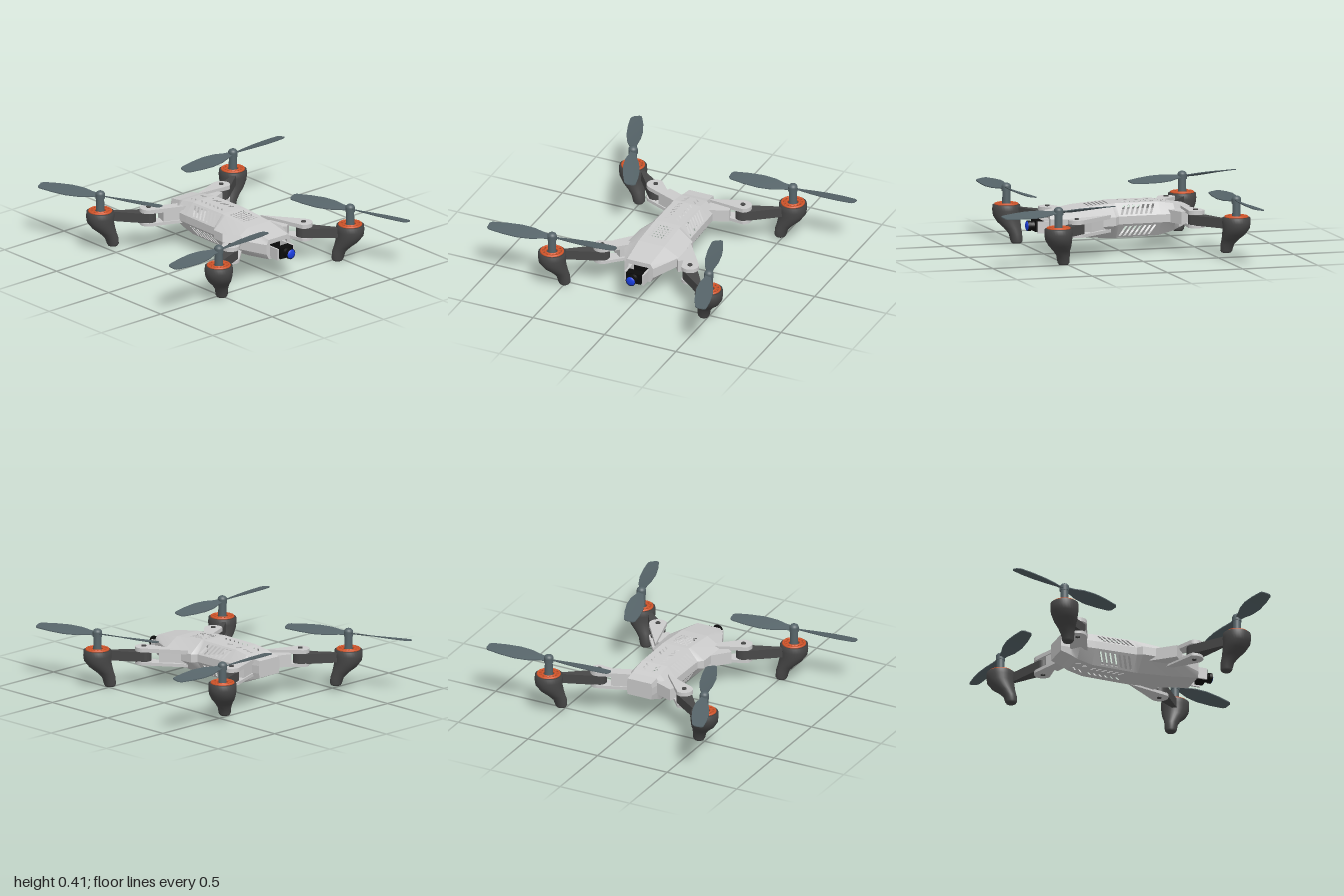
import * as THREE from 'three';
import { mergeVertices } from 'three/addons/utils/BufferGeometryUtils.js';

const mat = (color) => new THREE.MeshStandardMaterial({ color });
const shellMat = new THREE.MeshStandardMaterial({ color: 0xcccccc, side: THREE.DoubleSide });
const grey = mat(0xcccccc);
const dark = mat(0x484848);
const steel = mat(0x566469);
const orange = mat(0xd2552a);
const black = mat(0x0c0c0c);
const blue = mat(0x1a3fe0);

function add(parent, name, geometry, material, x = 0, y = 0, z = 0) {
  const m = new THREE.Mesh(geometry, material);
  m.name = name;
  m.position.set(x, y, z);
  parent.add(m);
  return m;
}

// Hull stations, back to front: z, top half width, side half width, then heights top, upper, lower, bottom
const stations = [
  [-0.44, 0.085, 0.09, 0.28, 0.25, 0.2, 0.17],
  [-0.37, 0.088, 0.097, 0.29, 0.245, 0.195, 0.145],
  [-0.33, 0.09, 0.145, 0.3, 0.24, 0.19, 0.125],
  [-0.23, 0.09, 0.15, 0.315, 0.24, 0.19, 0.1],
  [0.05, 0.09, 0.155, 0.317, 0.24, 0.19, 0.095],
  [0.08, 0.09, 0.185, 0.315, 0.24, 0.185, 0.095],
  [0.3, 0.09, 0.19, 0.297, 0.24, 0.18, 0.11],
  [0.49, 0.082, 0.1, 0.265, 0.235, 0.17, 0.135],
];
const ring = ([z, t, w, yt, yu, yl, yb]) => [
  [t, yt], [-t, yt], [-w, yu], [-w, yl], [-t, yb], [t, yb], [w, yl], [w, yu],
].map(([x, y]) => new THREE.Vector3(x, y, z));

const path = (pts) => new THREE.Path(pts.map(([u, v]) => new THREE.Vector2(u, v)));

// Slanted slot in unit panel coordinates
const slot = (u0, v0, u1, v1, t) => path([[u0, v0], [u1, v1], [u1, v1 + t], [u0, v0 + t]]);

// Openings for one hull panel: side vents, top and bottom chevrons, speaker grid
function openings(segment, side) {
  const holes = [];
  if (segment === 3 && [1, 3, 5, 7].includes(side)) {
    const flip = (u) => (side === 1 || side === 3 ? 1 - u : u);
    for (let i = 0; i < 7; i++) {
      const v = 0.1 + i * 0.115;
      holes.push(slot(flip(0.12), v + 0.11, flip(0.85), v, 0.055));
    }
  }
  if ((segment === 2 || segment === 3) && (side === 0 || side === 4)) {
    const length = segment === 2 ? 0.1 : 0.28;
    const count = segment === 2 ? 2 : 6;
    for (let i = 0; i < count; i++) {
      const v = (0.01 + i * 0.038) / length;
      for (const s of [-1, 1]) {
        holes.push(slot(0.5 + s * 0.14, v, 0.5 + s * 0.28, v + 0.025 / length, 0.012 / length));
      }
    }
  }
  if (segment === 5 && side === 0) {
    for (let i = 0; i < 6; i++) {
      for (let j = 0; j < 6; j++) {
        const p = new THREE.Path();
        p.absellipse(0.5 + (i - 2.5) * 0.115, 0.07 + j * 0.11, 0.04, 0.032, 0, Math.PI * 2);
        holes.push(p);
      }
    }
  }
  return holes;
}

// Unit square with holes stretched over four hull corners
function panel(a0, a1, b0, b1, holes) {
  const shape = new THREE.Shape(path([[0, 0], [1, 0], [1, 1], [0, 1]]).getPoints());
  shape.holes = holes;
  const g = new THREE.ShapeGeometry(shape, 4);
  const p = g.attributes.position;
  for (let i = 0; i < p.count; i++) {
    const u = p.getX(i);
    const low = a0.clone().lerp(a1, u);
    const q = low.lerp(b0.clone().lerp(b1, u), p.getY(i));
    p.setXYZ(i, q.x, q.y, q.z);
  }
  g.computeVertexNormals();
  return g;
}

function buildHull() {
  const hull = new THREE.Group();
  hull.name = 'hull';
  const rings = stations.map(ring);
  for (let k = 0; k < rings.length - 1; k++) {
    for (let i = 0; i < 8; i++) {
      const j = (i + 1) % 8;
      const g = panel(rings[k][i], rings[k][j], rings[k + 1][i], rings[k + 1][j], openings(k, i));
      add(hull, 'hullPanel', g, shellMat);
    }
  }
  // End faces, the front one with the camera bay cut out
  const face = (r) => new THREE.Shape(r.map((q) => new THREE.Vector2(q.x, q.y)));
  const front = face(rings[7]);
  front.holes.push(path([[-0.07, 0.155], [-0.07, 0.235], [0.07, 0.235], [0.07, 0.155]]));
  add(hull, 'hullFront', new THREE.ShapeGeometry(front), shellMat, 0, 0, 0.49);
  add(hull, 'hullBack', new THREE.ShapeGeometry(face(rings[0])).rotateY(Math.PI), shellMat, 0, 0, -0.44);
  add(hull, 'cameraBay', new THREE.BoxGeometry(0.15, 0.09, 0.02), black, 0, 0.195, 0.43);
  return hull;
}

function buildCamera() {
  const cam = new THREE.Group();
  cam.name = 'camera';
  for (const s of [-1, 1]) add(cam, 'cameraProng', new THREE.BoxGeometry(0.012, 0.075, 0.12), grey, s * 0.062, 0.18, 0.5);
  add(cam, 'cameraBody', new THREE.BoxGeometry(0.1, 0.07, 0.05), black, 0, 0.185, 0.545);
  const barrel = (r0, r1, h) => new THREE.CylinderGeometry(r1, r0, h, 24).rotateX(Math.PI / 2);
  add(cam, 'lensBarrel', barrel(0.034, 0.026, 0.03), black, 0, 0.185, 0.58);
  add(cam, 'lensRim', barrel(0.034, 0.034, 0.02), black, 0, 0.185, 0.602);
  add(cam, 'lens', new THREE.SphereGeometry(0.031, 24, 12).scale(1, 1, 0.4), blue, 0, 0.185, 0.61);
  return cam;
}

// Flat bar along +x with a rounded outer end, lying between two heights
function bar(length, rootHalf, endRadius, y0, y1) {
  const s = new THREE.Shape();
  s.moveTo(0, -rootHalf);
  s.absarc(length, 0, endRadius, -Math.PI / 2, Math.PI / 2);
  s.lineTo(0, rootHalf);
  const opts = { depth: y1 - y0, bevelEnabled: false, curveSegments: 16 };
  return new THREE.ExtrudeGeometry(s, opts).rotateX(-Math.PI / 2).translate(0, y0, 0);
}

// Motor cup drooping inward into a landing foot
function podGeometry(foot) {
  const profile = [[0, foot], [0.03, foot], [0.038, foot + 0.012], [0.043, 0.06], [0.055, 0.095],
    [0.074, 0.13], [0.086, 0.17], [0.09, 0.205], [0.088, 0.238], [0.078, 0.242], [0.075, 0.228], [0, 0.228]];
  let g = new THREE.LatheGeometry(profile.map(([r, y]) => new THREE.Vector2(r, y)), 32);
  const p = g.attributes.position;
  for (let i = 0; i < p.count; i++) {
    p.setX(i, p.getX(i) - 0.08 * (1 - THREE.MathUtils.smoothstep(p.getY(i), 0.03, 0.18)));
  }
  g.deleteAttribute('uv');
  g.deleteAttribute('normal');
  g = mergeVertices(g);
  g.computeVertexNormals();
  return g;
}

// Pitched blade along +x
function bladeGeometry() {
  const chord = [[0, 0.03], [0.06, 0.045], [0.13, 0.085], [0.22, 0.106], [0.32, 0.098], [0.41, 0.074], [0.425, 0.062], [0.43, 0.04]];
  const g = new THREE.BoxGeometry(0.43, 0.006, 1, 40, 1, 4).translate(0.215, 0, 0);
  const p = g.attributes.position;
  for (let i = 0; i < p.count; i++) {
    const x = p.getX(i);
    const k = Math.max(1, chord.findIndex(([c]) => c >= x - 1e-6));
    const [x0, w0] = chord[k - 1];
    const [x1, w1] = chord[k];
    const z = p.getZ(i) * (w0 + ((w1 - w0) * (x - x0)) / (x1 - x0));
    p.setY(i, p.getY(i) + z * (0.4 - 0.55 * x));
    p.setZ(i, z);
  }
  g.computeVertexNormals();
  return g;
}

const heading = ([x, z]) => Math.atan2(-z, x);

function buildArm({ name, root, pivot, motor, lift, half, prop }) {
  const arm = new THREE.Group();
  arm.name = name;
  arm.position.y = lift;
  const to = (a, b) => [b[0] - a[0], b[1] - a[1]];

  // Forked bracket with a solid root
  const bracket = new THREE.Group();
  bracket.name = 'bracket';
  bracket.position.set(root[0], 0, root[1]);
  bracket.rotation.y = heading(to(root, pivot));
  const length = Math.hypot(...to(root, pivot));
  add(bracket, 'upperPlate', bar(length, half, 0.057, 0.232, 0.258), grey);
  add(bracket, 'lowerPlate', bar(length, half, 0.057, 0.147, 0.167), grey);
  add(bracket, 'bracketCore', new THREE.BoxGeometry(length * 0.65, 0.08, 0.1), grey, length * 0.325, 0.2, 0);
  add(bracket, 'hingePin', new THREE.CylinderGeometry(0.015, 0.015, 0.122, 20), dark, length, 0.204, 0);

  // Folding arm from hinge to motor
  const boom = new THREE.Group();
  boom.name = 'boom';
  boom.position.set(motor[0], 0, motor[1]);
  boom.rotation.y = heading(to(pivot, motor));
  const reach = Math.hypot(...to(pivot, motor));
  add(boom, 'armBar', bar(reach, 0.036, 0.048, 0.165, 0.228).translate(-reach, 0, 0).rotateY(Math.PI).translate(-reach, 0, 0), dark);
  add(boom, 'motorPod', podGeometry(lift > 0 ? 0.008 : 0), dark);

  // Slotted motor ring
  const hoop = (r) => new THREE.TorusGeometry(r, 0.008, 8, 32).rotateX(Math.PI / 2);
  add(boom, 'motorRingOuter', hoop(0.069), orange, 0, 0.243, 0);
  add(boom, 'motorRingInner', hoop(0.042), orange, 0, 0.243, 0);
  for (let i = 0; i < 12; i++) {
    const g = new THREE.BoxGeometry(0.03, 0.01, 0.01).translate(0.055, 0, 0).rotateY((i * Math.PI) / 6);
    add(boom, 'motorSpoke', g, orange, 0, 0.244, 0);
  }
  add(boom, 'motorShaft', new THREE.CylinderGeometry(0.025, 0.027, 0.11, 24), steel, 0, 0.28, 0);

  // Two-blade propeller
  const propeller = new THREE.Group();
  propeller.name = 'propeller';
  propeller.position.set(motor[0], 0.345, motor[1]);
  propeller.rotation.y = heading(prop);
  add(propeller, 'hub', new THREE.CylinderGeometry(0.03, 0.03, 0.03, 24), steel, 0, -0.003, 0);
  add(propeller, 'hubCap', new THREE.SphereGeometry(0.03, 24, 12).scale(1, 0.8, 1), steel, 0, 0.01, 0);
  for (const a of [0, Math.PI]) add(propeller, 'blade', bladeGeometry(), steel).rotation.y = a;

  arm.add(bracket, boom, propeller);
  return arm;
}

export function createModel() {
  const model = new THREE.Group();
  model.name = 'quadcopter';
  model.add(buildHull(), buildCamera());
  const front = { lift: 0, half: 0.082 };
  const rear = { lift: 0.026, half: 0.06 };
  const arms = [
    { name: 'frontLeftArm', root: [0.12, 0.165], pivot: [0.307, 0.38], motor: [0.53, 0.573], prop: [0.305, 0.95], ...front },
    { name: 'frontRightArm', root: [-0.12, 0.165], pivot: [-0.307, 0.38], motor: [-0.57, 0.567], prop: [0.995, -0.085], ...front },
    { name: 'rearLeftArm', root: [0.09, -0.325], pivot: [0.305, -0.41], motor: [0.567, -0.597], prop: [0.995, -0.04], ...rear },
    { name: 'rearRightArm', root: [-0.09, -0.325], pivot: [-0.305, -0.41], motor: [-0.55, -0.595], prop: [0.38, 0.92], ...rear },
  ];
  for (const a of arms) model.add(buildArm(a));
  return model;
}
